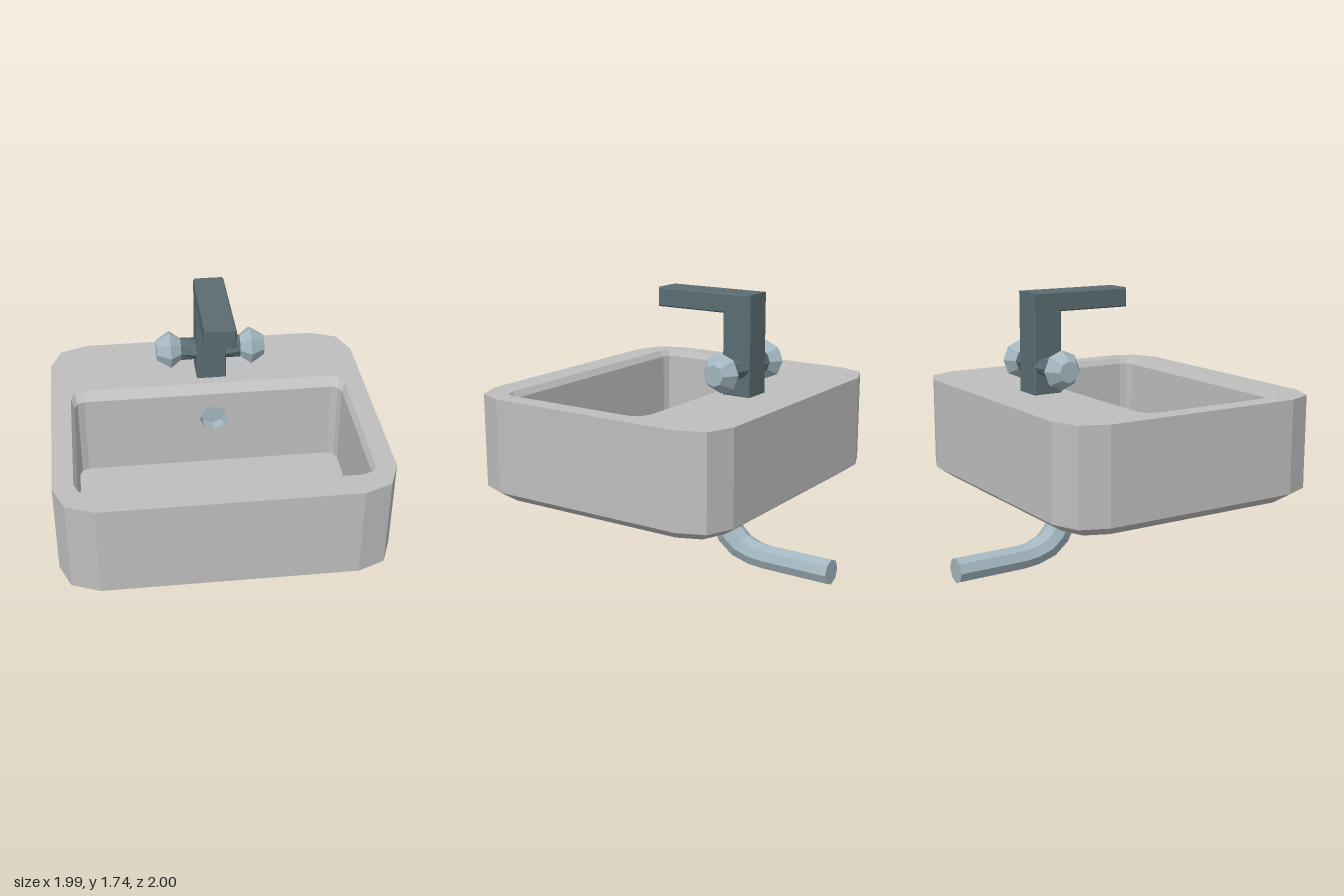
import * as THREE from 'three';

const V = (x, y, z) => new THREE.Vector3(x, y, z);

// Faceted skin through equal-sized rings; skip(i, j) leaves a panel open
function loft(rings, { start = true, end = true, skip = () => false } = {}) {
  const n = rings[0].length, pos = [];
  const tri = (...p) => p.forEach(v => pos.push(v.x, v.y, v.z));
  for (let i = 0; i < rings.length - 1; i++) {
    for (let j = 0; j < n; j++) {
      if (skip(i, j)) continue;
      const k = (j + 1) % n, a = rings[i], b = rings[i + 1];
      tri(a[j], a[k], b[k]);
      tri(a[j], b[k], b[j]);
    }
  }
  const first = rings[0], last = rings[rings.length - 1];
  for (let j = 1; j < n - 1; j++) {
    if (start) tri(first[0], first[j + 1], first[j]);
    if (end) tri(last[0], last[j], last[j + 1]);
  }
  const g = new THREE.BufferGeometry();
  g.setAttribute('position', new THREE.Float32BufferAttribute(pos, 3));
  g.computeVertexNormals();
  return g;
}

// Eight points of a circle, mapped to space by fn(cos, sin)
const octagon = fn => Array.from({ length: 8 }, (_, i) =>
  fn(Math.cos(i * Math.PI / 4), Math.sin(i * Math.PI / 4)));

// Horizontal rectangle with two-step cut corners
function basinLoop(y, hx, z0, z1, c) {
  const k = c * 0.29;
  const right = [[hx - c, z1], [hx - k, z1 - k], [hx, z1 - c],
    [hx, z0 + c], [hx - k, z0 + k], [hx - c, z0]];
  const left = right.map(([x, z]) => [-x, z]).reverse();
  return [...right, ...left].map(([x, z]) => V(x, y, z));
}

export function createModel() {
  const ceramic = new THREE.MeshStandardMaterial({ color: 0xbebebe });
  ceramic.name = 'ceramic grey';
  const darkMetal = new THREE.MeshStandardMaterial({ color: 0x5a6c71 });
  darkMetal.name = 'dark metal';
  const paleMetal = new THREE.MeshStandardMaterial({ color: 0xa3b6bf });
  paleMetal.name = 'pale metal';

  const model = new THREE.Group();
  model.name = 'sink';
  const add = (name, geometry, material) => {
    const mesh = new THREE.Mesh(geometry, material);
    mesh.name = name;
    model.add(mesh);
    return mesh;
  };

  // Basin: underside, outer wall, rim, bevelled lip, inner wall and floor
  const floorY = 0.56, lipY = 1.085, wallZ = -0.15, innerX = 0.85, cut = 0.06;
  const cx = 0.033;
  add('basin', loft([
    basinLoop(0.475, 0.905, -0.675, 0.91, 0.2),
    basinLoop(0.54, 0.995, -0.765, 1, 0.235),
    basinLoop(1.125, 0.995, -0.765, 1, 0.235),
    basinLoop(1.125, 0.872, -0.22, 0.83, 0.09),
    basinLoop(lipY, innerX, wallZ, 0.803, cut),
    basinLoop(floorY, innerX, wallZ, 0.803, cut),
  ], { skip: (i, j) => i === 4 && j === 5 }), ceramic);

  // Inner back wall with the round drain opening
  const w = innerX - cut, drainY = 0.9, drainR = 0.09;
  const wall = new THREE.Shape([[-w, floorY], [w, floorY], [w, lipY], [-w, lipY]]
    .map(p => new THREE.Vector2(...p)));
  wall.holes.push(new THREE.Path(octagon((c, s) =>
    new THREE.Vector2(cx + c * drainR, drainY + s * drainR))));
  add('basinBackWall', new THREE.ShapeGeometry(wall).translate(0, 0, wallZ), ceramic);
  add('drainRecess', loft([wallZ, wallZ - 0.08].map(z =>
    octagon((c, s) => V(cx + c * drainR, drainY + s * drainR, z))),
  { start: false }), paleMetal);

  // Faucet: one L-shaped profile (drawn as z, y) with finely bevelled edges
  const profile = new THREE.Shape([[-0.475, 1.12], [-0.285, 1.12], [-0.285, 1.625],
    [0.19, 1.625], [0.19, 1.745], [-0.475, 1.745]].map(([z, y]) => new THREE.Vector2(-z, y)));
  const bevel = 0.008, width = 0.19;
  const faucet = new THREE.ExtrudeGeometry(profile, {
    depth: width - 2 * bevel, bevelEnabled: true, bevelSegments: 1,
    bevelSize: bevel, bevelThickness: bevel, bevelOffset: -bevel,
  });
  faucet.rotateY(Math.PI / 2).translate(cx - width / 2 + bevel, 0, 0);
  add('faucet', faucet, darkMetal);

  // Handles: tapering arm and faceted knob on each side
  const rod = (side, rings) => loft(rings.map(([d, ry, rz]) =>
    octagon((c, s) => V(cx + side * d, 1.295 + c * ry, -0.38 + side * s * rz))));
  for (const [side, label] of [[1, 'left'], [-1, 'right']]) {
    add(label + 'Arm', rod(side, [[0.09, 0.058, 0.095], [0.19, 0.075, 0.07]]), darkMetal);
    add(label + 'Knob', rod(side,
      [[0.183, 0.065, 0.065], [0.258, 0.122, 0.122], [0.345, 0.066, 0.066]]), paleMetal);
  }

  // Drain collar and bent waste pipe: [z, y, radius, downward pitch in degrees]
  const pipe = [[-0.215, 0.53, 0.14, 90], [-0.215, 0.46, 0.14, 88], [-0.22, 0.38, 0.135, 75],
    [-0.21, 0.34, 0.093, 70], [-0.29, 0.195, 0.092, 52], [-0.365, 0.13, 0.088, 32],
    [-0.465, 0.096, 0.082, 14], [-0.55, 0.087, 0.08, 3], [-1, 0.085, 0.08, 0]];
  add('wastePipe', loft(pipe.map(([z, y, r, pitch], i) => {
    const a = THREE.MathUtils.degToRad(pitch);
    const across = V(0, -Math.sin(a), -Math.cos(a)).cross(V(1, 0, 0));
    const x = 0.028 - 0.0025 * i;
    return octagon((c, s) => V(x + c * r, y, z).addScaledVector(across, s * r));
  })), paleMetal);

  return model;
}
